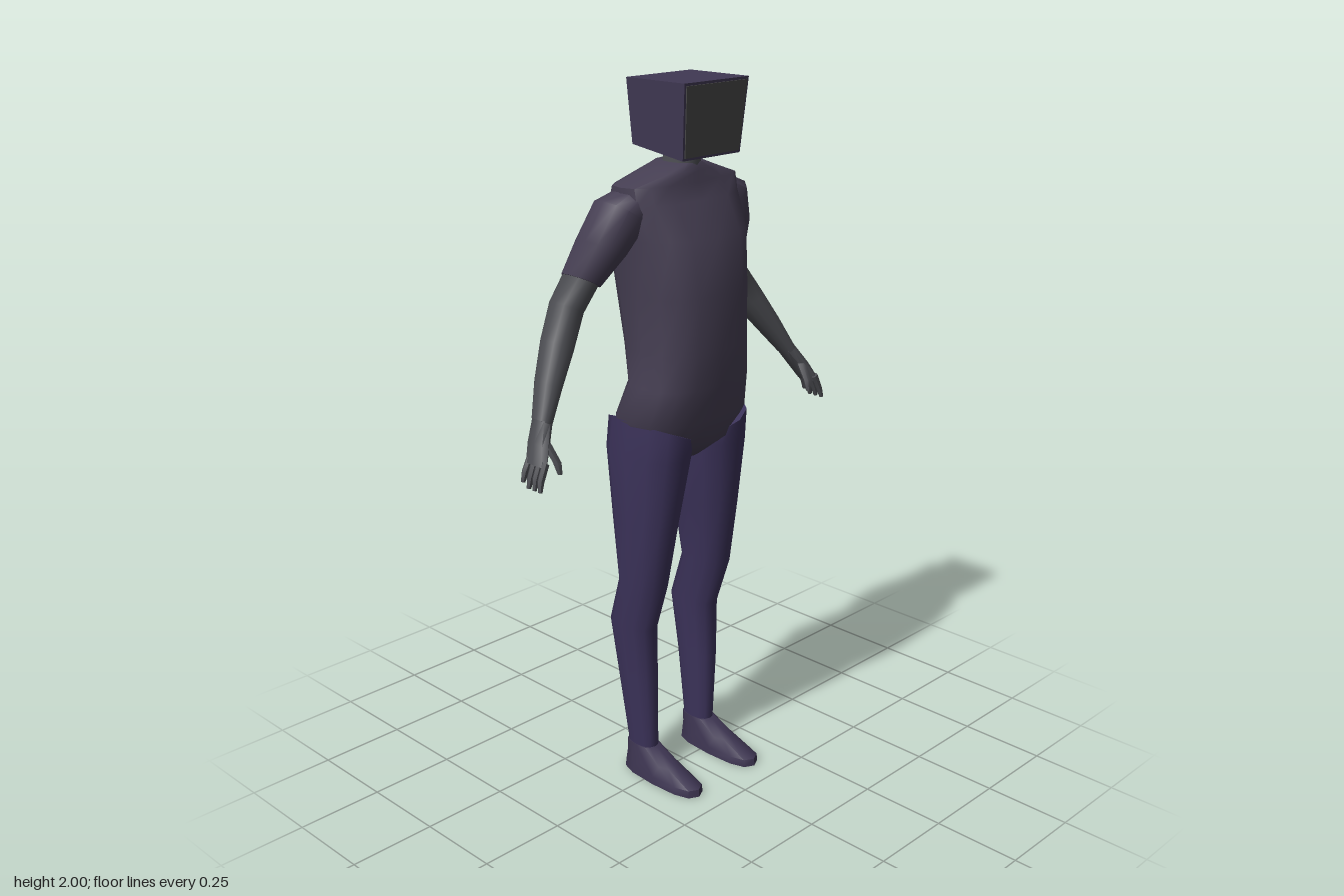
import * as THREE from 'three';
import { toCreasedNormals } from 'three/addons/utils/BufferGeometryUtils.js';

const mat = (name, color) => Object.assign(new THREE.MeshStandardMaterial({ color }), { name });

// Skin over rings listed bottom to top: [x, y, z, half width, half depth, tilt]; side mirrors x.
function loft(rings, sides = 12, power = 1, side = 1) {
  const pos = [], idx = [];
  const bend = v => Math.sign(v) * Math.pow(Math.abs(v), power);
  for (const [x, y, z, w, d, tilt = 0] of rings) {
    const a = tilt * side;
    for (let j = 0; j < sides; j++) {
      const t = (j / sides) * Math.PI * 2;
      const u = w * bend(Math.cos(t)), v = d * bend(Math.sin(t));
      pos.push(x * side + u * Math.cos(a), y + u * Math.sin(a), z + v);
    }
  }
  const last = (rings.length - 1) * sides;
  for (let i = 0; i < rings.length - 1; i++) {
    for (let j = 0; j < sides; j++) {
      const a = i * sides + j, b = i * sides + (j + 1) % sides;
      idx.push(a, a + sides, b, b, a + sides, b + sides);
    }
  }
  for (let j = 1; j < sides - 1; j++) {
    idx.push(0, j, j + 1, last, last + j + 1, last + j);
  }
  const geo = new THREE.BufferGeometry();
  geo.setAttribute('position', new THREE.Float32BufferAttribute(pos, 3));
  geo.setIndex(idx);
  return toCreasedNormals(geo, 0.95);
}

// Box whose corners are moved by a rule
function shapedBox(w, h, d, rule) {
  const geo = new THREE.BoxGeometry(w, h, d);
  const p = geo.attributes.position;
  for (let i = 0; i < p.count; i++) p.setXYZ(i, ...rule(p.getX(i), p.getY(i), p.getZ(i)));
  geo.computeVertexNormals();
  return geo;
}

export function createModel() {
  const root = new THREE.Group();
  root.name = 'screenHeadedFigure';
  const skin = mat('greySkin', 0x4a4b50);
  const shirt = mat('shirtPurple', 0x453e52);
  const pants = mat('pantsPurple', 0x3b3259);
  const shoes = mat('shoePurple', 0x3c3450);
  const casing = mat('casingPurple', 0x403853);
  const glass = mat('screenGrey', 0x484848);
  const add = (name, geo, material, parent = root) => {
    const m = new THREE.Mesh(geo, material);
    m.name = name;
    parent.add(m);
    return m;
  };

  // Head: a monitor casing narrowing downwards, with a raised rear housing
  const head = new THREE.Group();
  head.name = 'head';
  root.add(head);
  add('casing', shapedBox(1, 1, 1, (x, y, z) => y > 0
    ? [x * 0.236, 2, z > 0 ? 0.12 : -0.088]
    : [x * 0.212, z > 0 ? 1.805 : 1.83, z > 0 ? 0.102 : -0.08]), casing, head);
  const screen = add('screen', shapedBox(1, 0.182, 0.006, (x, y, z) =>
    [x * (y > 0 ? 0.222 : 0.2), y, z]), glass, head);
  screen.position.set(0, 1.9025, 0.111);
  screen.rotation.x = 0.092;
  add('rearHousing', shapedBox(1, 1, 1, (x, y, z) => z > 0
    ? [x * 0.13, 1.905 + y * 0.1, -0.08]
    : [x * 0.1, 1.907 + y * 0.078, -0.117]), casing, head);

  // Neck
  add('neck', loft([
    [0, 1.75, -0.015, 0.055, 0.065],
    [0, 1.79, -0.005, 0.046, 0.055],
    [0, 1.84, 0.005, 0.044, 0.05],
  ]), skin);

  // Shirt body from crotch to collar
  add('torso', loft([
    [0, 0.975, -0.03, 0.05, 0.07],
    [0, 1.03, -0.022, 0.15, 0.125],
    [0, 1.1, -0.01, 0.195, 0.13],
    [0, 1.2, 0.018, 0.175, 0.122],
    [0, 1.3, 0.01, 0.167, 0.137],
    [0, 1.45, -0.005, 0.168, 0.155],
    [0, 1.6, -0.022, 0.185, 0.153],
    [0, 1.69, -0.032, 0.2, 0.107],
    [0, 1.735, -0.03, 0.2, 0.085],
    [0, 1.765, -0.02, 0.11, 0.075],
    [0, 1.785, -0.015, 0.055, 0.062],
  ], 16, 0.75), shirt);

  for (const s of [1, -1]) {
    // Leg and foot
    const leg = new THREE.Group();
    leg.name = s > 0 ? 'leftLeg' : 'rightLeg';
    root.add(leg);
    add('trouserLeg', loft([
      [0.116, 0.06, -0.05, 0.03, 0.05],
      [0.116, 0.1, -0.05, 0.031, 0.051],
      [0.122, 0.3, -0.062, 0.042, 0.065],
      [0.124, 0.47, -0.077, 0.048, 0.079],
      [0.127, 0.61, -0.033, 0.056, 0.077],
      [0.12, 0.8, -0.03, 0.07, 0.105],
      [0.108, 1.0, -0.028, 0.09, 0.133],
      [0.107, 1.07, -0.02, 0.092, 0.134, 0.4],
    ], 12, 0.9, s), pants, leg);
    add('foot', loft([
      [0.118, 0, 0.035, 0.048, 0.145],
      [0.118, 0.022, 0.035, 0.046, 0.143],
      [0.117, 0.055, -0.008, 0.038, 0.094],
      [0.116, 0.09, -0.048, 0.032, 0.054],
    ], 12, 0.75, s), shoes, leg);

    // Sleeve, bare arm and hand
    const arm = new THREE.Group();
    arm.name = s > 0 ? 'leftArm' : 'rightArm';
    root.add(arm);
    add('sleeve', loft([
      [0.277, 1.495, -0.1, 0.045, 0.06, 0.5],
      [0.235, 1.58, -0.067, 0.06, 0.075, 0.45],
      [0.19, 1.665, -0.042, 0.07, 0.077, 0.6],
      [0.15, 1.69, -0.035, 0.05, 0.06, 0.9],
    ], 12, 0.9, s), shirt, arm);
    add('forearm', loft([
      [0.475, 1.17, -0.04, 0.022, 0.032, 0.55],
      [0.425, 1.25, -0.07, 0.033, 0.041, 0.55],
      [0.365, 1.338, -0.1, 0.043, 0.048, 0.52],
      [0.31, 1.425, -0.122, 0.042, 0.051, 0.5],
      [0.272, 1.505, -0.1, 0.041, 0.055, 0.5],
    ], 12, 0.9, s), skin, arm);
    add('palm', loft([
      [0.532, 1.075, 0, 0.013, 0.04, 0.5],
      [0.507, 1.12, -0.018, 0.018, 0.038, 0.5],
      [0.473, 1.173, -0.04, 0.021, 0.031, 0.55],
    ], 8, 0.85, s), skin, arm);
    for (let i = 0; i < 4; i++) {
      const z = -0.03 + i * 0.02, drop = i === 0 ? 0.012 : 0;
      add('finger', loft([
        [0.553, 1.018 + drop, z * 1.1 + 0.004, 0.006, 0.006, 0.3],
        [0.546, 1.045 + drop, z + 0.003, 0.01, 0.009, 0.4],
        [0.526, 1.088, z, 0.011, 0.01, 0.5],
      ], 6, 1, s), skin, arm);
    }
    add('thumb', loft([
      [0.488, 1.052, 0.04, 0.007, 0.007],
      [0.49, 1.083, 0.032, 0.012, 0.012],
      [0.497, 1.128, 0.0, 0.013, 0.014],
    ], 6, 1, s), skin, arm);
  }
  return root;
}
